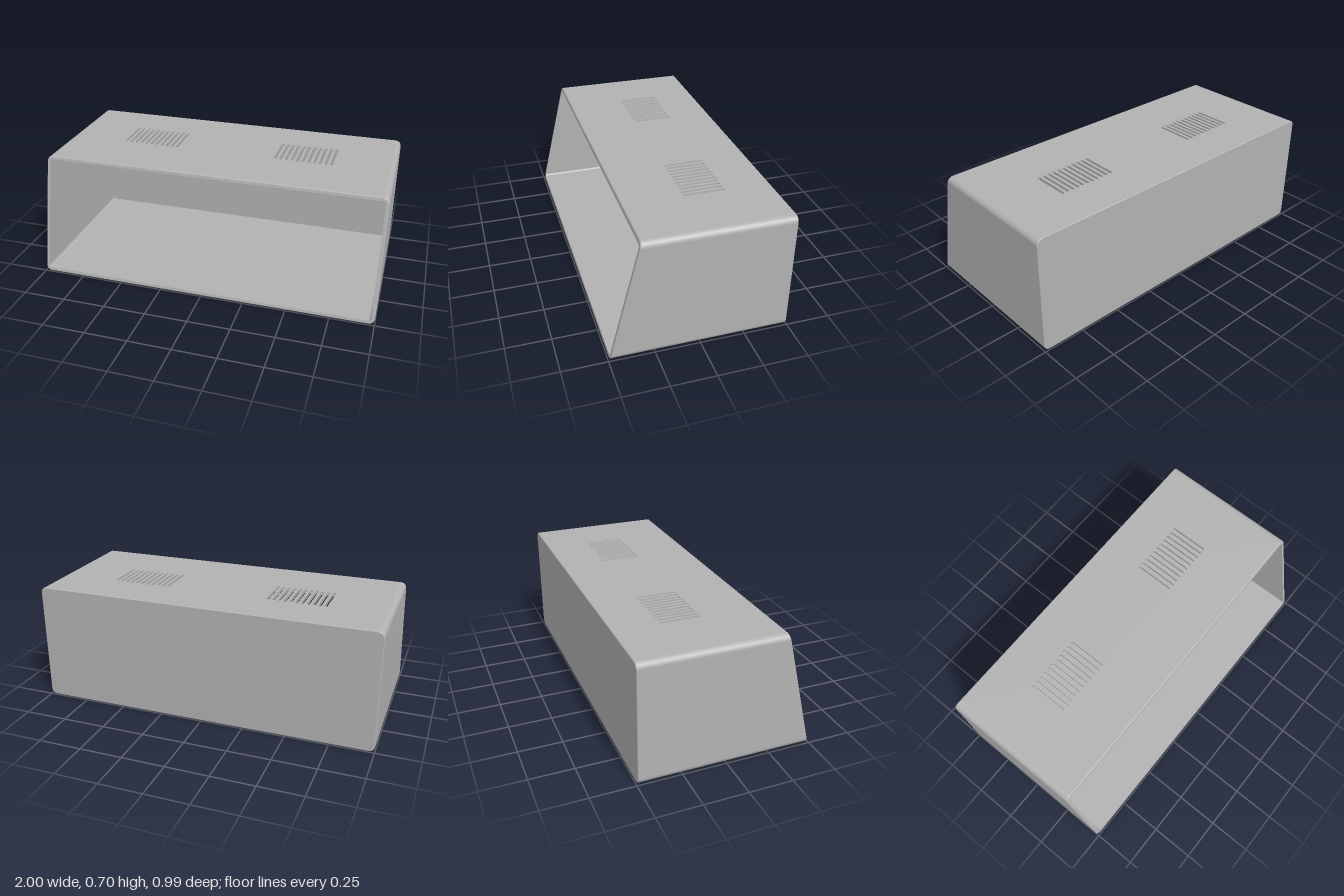
import * as THREE from 'three';

const H = 0.697, T = 0.02, R = 0.035, BACK = -0.495, F = 0.006, N = 8;
const frontZ = (y) => 0.494 - 0.247 * y; // sloping front plane

// Rounded-rectangle loop, inset from the outside; zAt gives the depth for a height
function ring(inset, zAt) {
  const pts = [], r = R - inset;
  for (let c = 0; c < 4; c++) {
    const cx = (c === 0 || c === 3 ? 1 : -1) * (1 - R);
    const cy = c < 2 ? H - R : R;
    for (let k = 0; k <= N; k++) {
      const a = (c + k / N) * Math.PI / 2;
      const y = cy + r * Math.sin(a);
      pts.push([cx + r * Math.cos(a), y, zAt(y)]);
    }
  }
  return pts;
}
const centre = (z) => ring(0, () => z).map(() => [0, H / 2, z]);

// Smooth skin through a list of loops; openRoof leaves out the flat top
function skin(rings, openRoof = false) {
  const n = rings[0].length, index = [];
  for (let j = 0; j < rings.length - 1; j++) {
    for (let i = 0; i < n; i++) {
      if (openRoof && i === N) continue;
      const i2 = (i + 1) % n, a = j * n, b = a + n;
      index.push(a + i, a + i2, b + i2, a + i, b + i2, b + i);
    }
  }
  const g = new THREE.BufferGeometry();
  g.setAttribute('position', new THREE.Float32BufferAttribute(rings.flat(2), 3));
  g.setIndex(index);
  g.computeVertexNormals();
  return g;
}

// Roof panel pierced by two banks of rounded vent slots
function roofPanel() {
  const w = 1 - R, back = -(BACK + F);
  const shape = new THREE.Shape();
  shape.moveTo(-w, -0.32).lineTo(w, -0.32).lineTo(w, back).lineTo(-w, back).closePath();
  const r = 0.0085, y0 = 0.008 + r, y1 = 0.24 - r;
  for (const side of [-1, 1]) {
    for (let i = 0; i < 11; i++) {
      const x = side * (0.306 + i * 0.0332);
      const slot = new THREE.Path();
      slot.moveTo(x + r, y0).lineTo(x + r, y1);
      slot.absarc(x, y1, r, 0, Math.PI, false);
      slot.lineTo(x - r, y0);
      slot.absarc(x, y0, r, Math.PI, Math.PI * 2, false);
      shape.holes.push(slot);
    }
  }
  const g = new THREE.ExtrudeGeometry(shape, { depth: T, bevelEnabled: false, curveSegments: 6 });
  g.rotateX(-Math.PI / 2).translate(0, H - T, 0);
  // Lean the front edge to follow the slope
  const p = g.attributes.position;
  for (let i = 0; i < p.count; i++) {
    if (p.getZ(i) > 0.2) p.setZ(i, frontZ(p.getY(i)) - (p.getY(i) > H - T / 2 ? F : 0));
  }
  return g;
}

export function createModel() {
  const grey = new THREE.MeshStandardMaterial({ color: 0xb2b2b2 });
  grey.name = 'grey';
  const group = new THREE.Group();
  group.name = 'openFrontedHousing';
  const add = (name, geometry) => {
    const m = new THREE.Mesh(geometry, grey);
    m.name = name;
    group.add(m);
  };

  // Quarter-round edges at the back and front
  const steps = [0, 1, 2, 3, 4].map((k) => k / 4 * Math.PI / 2);
  const backEdge = steps.map((a) =>
    ring(F * (1 - Math.sin(a)), () => BACK + F * (1 - Math.cos(a))));
  const frontEdge = steps.map((a) =>
    ring(F * (1 - Math.cos(a)), (y) => frontZ(y) - F * (1 - Math.sin(a))));
  const innerFront = ring(T, frontZ), innerBack = ring(T, () => BACK + T);

  add('backPanel', skin([centre(BACK), backEdge[0]]));
  add('backEdge', skin(backEdge));
  add('outerWalls', skin([backEdge[4], frontEdge[0]], true));
  add('frontEdge', skin(frontEdge));
  add('frontRim', skin([frontEdge[4], innerFront]));
  add('innerWalls', skin([innerFront, innerBack], true));
  add('innerBackPanel', skin([innerBack, centre(BACK + T)]));
  add('ventedRoof', roofPanel());
  return group;
}
